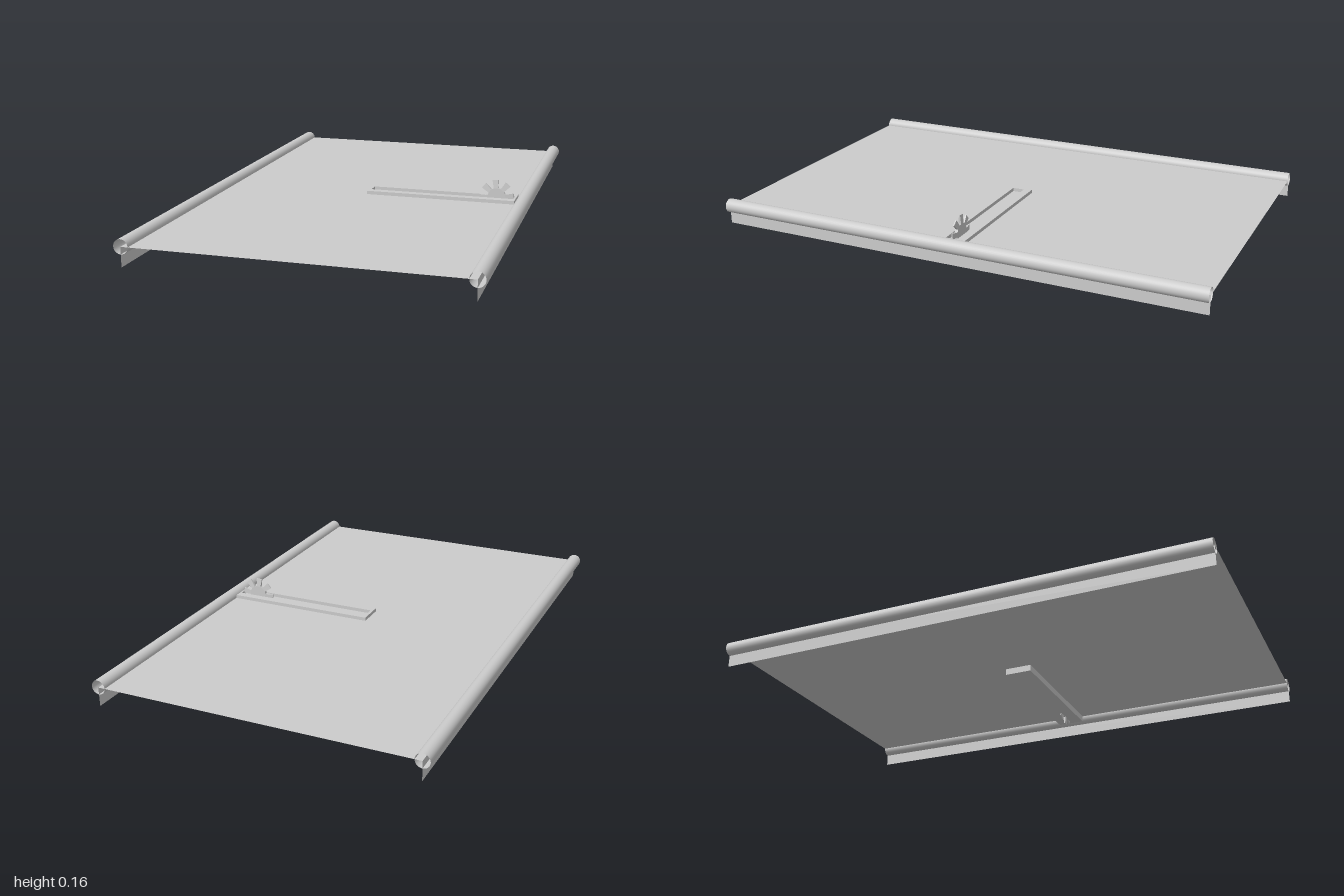
import * as THREE from 'three';

export function createModel() {
  const root = new THREE.Group();
  const smooth = new THREE.MeshStandardMaterial({ color: 0xcccccc, side: THREE.DoubleSide });
  const flat = new THREE.MeshStandardMaterial({ color: 0xcccccc, flatShading: true, side: THREE.DoubleSide });
  const add = (name, geometry, material, x = 0, y = 0, z = 0) => {
    const mesh = new THREE.Mesh(geometry, material);
    mesh.name = name;
    mesh.position.set(x, y, z);
    root.add(mesh);
    return mesh;
  };

  const railX = 0.633, railY = 0.076, railR = 0.028;

  // thin bed sheet running between the two rails
  add('sheet', new THREE.PlaneGeometry(railX * 2, 2).rotateX(-Math.PI / 2), flat, 0, railY);

  // open side tubes, each with a thin flange hanging down to the ground
  for (const [side, s] of [['left', 1], ['right', -1]]) {
    add(side + 'Tube', new THREE.CylinderGeometry(railR, railR, 2, 32, 1, true).rotateX(Math.PI / 2),
      smooth, s * railX, railY);
    add(side + 'Flange', new THREE.PlaneGeometry(2, railY).rotateY(Math.PI / 2), flat, s * railX, railY / 2);
  }

  // slotted guide: raised rim above the sheet, solid base below it
  const rect = (Type, x0, x1, h) => {
    const p = new Type();
    p.moveTo(x0, -h);
    p.lineTo(x1, -h);
    p.lineTo(x1, h);
    p.lineTo(x0, h);
    p.closePath();
    return p;
  };
  const rim = rect(THREE.Shape, -0.012, 0.603, 0.056);
  rim.holes.push(rect(THREE.Path, 0, 0.595, 0.024));
  add('guideRim', new THREE.ExtrudeGeometry(rim, { depth: 0.015, bevelEnabled: false }).rotateX(-Math.PI / 2),
    flat, 0, 0.075);
  add('guideBase', new THREE.BoxGeometry(0.615, 0.025, 0.112), flat, 0.2955, 0.0625);

  // toothed wheel with flared teeth, thinner towards the tips
  const teeth = 8, outer = 0.071, inner = 0.037, half = 0.006;
  const points = [];
  for (let i = 0; i < teeth; i++) {
    const a = THREE.MathUtils.degToRad(95) + (i / teeth) * Math.PI * 2;
    for (const [r, d] of [[inner, -0.24], [outer, -0.18], [outer, 0.18], [inner, 0.24]]) {
      points.push(new THREE.Vector2(r * Math.cos(a + d), r * Math.sin(a + d)));
    }
  }
  const wheel = new THREE.ExtrudeGeometry(new THREE.Shape(points), { depth: half * 2, bevelEnabled: false });
  wheel.translate(0, 0, -half);
  const pos = wheel.attributes.position;
  for (let i = 0; i < pos.count; i++) {
    if (Math.hypot(pos.getX(i), pos.getY(i)) > 0.05) pos.setZ(i, pos.getZ(i) * 0.4);
  }
  wheel.computeVertexNormals();
  add('toothedWheel', wheel, flat, 0.523, 0.089);

  return root;
}
